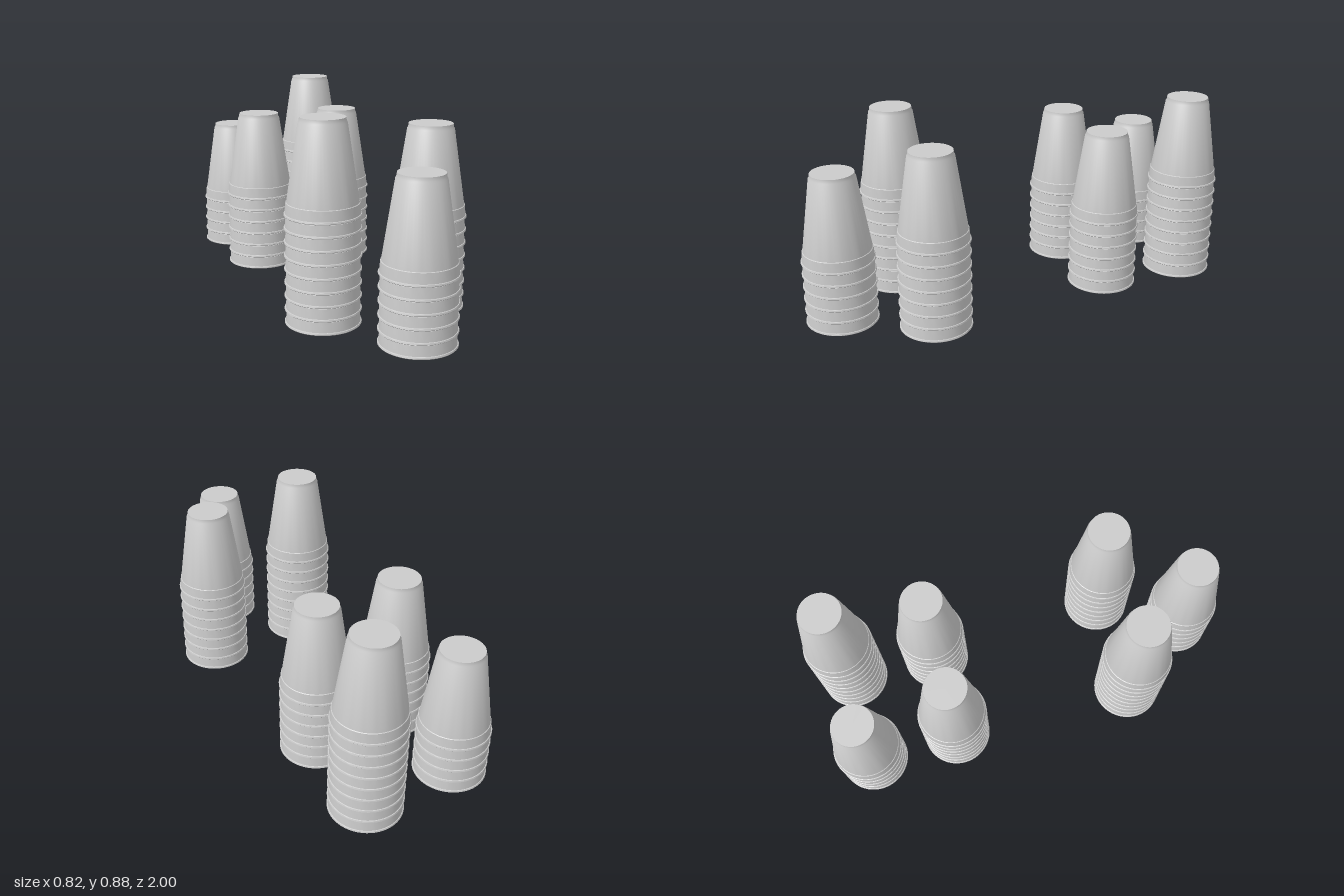
import * as THREE from 'three';
import { toCreasedNormals } from 'three/addons/utils/BufferGeometryUtils.js';

const CUP_HEIGHT = 0.407;
const PITCH = 0.0585; // rise of each nested cup

// Upside-down cup as one thin closed shell: inside wall, rolled rim, outside wall, base
function cupGeometry() {
  const profile = [
    // inside
    [0, 0.388], [0.092, 0.388], [0.146, 0.054], [0.153, 0.01],
    // rolled rim
    [0.156, 0.001], [0.16, 0], [0.163, 0.003], [0.163, 0.007], [0.161, 0.01], [0.158, 0.011],
    // stacking band and tapered wall
    [0.154, 0.055], [0.151, 0.057], [0.101, 0.385],
    // stepped base edge and flat base
    [0.097, 0.391], [0.095, CUP_HEIGHT], [0, CUP_HEIGHT],
  ].map(([r, y]) => new THREE.Vector2(r, y));
  return toCreasedNormals(new THREE.LatheGeometry(profile, 56), 0.6);
}

export function createModel() {
  const model = new THREE.Group();
  model.name = 'cupStacks';
  const material = new THREE.MeshStandardMaterial({ color: 0xcccccc });
  const geometry = cupGeometry();

  // name, x, z, number of nested cups
  const stacks = [
    ['frontStack', 0.015, 0.837, 6],
    ['middleRightStack', -0.249, 0.483, 9],
    ['middleLeftStack', 0.247, 0.477, 8],
    ['innerBackRightStack', -0.235, -0.41, 7],
    ['innerBackLeftStack', 0.182, -0.41, 7],
    ['backRightStack', -0.246, -0.837, 5],
    ['backLeftStack', 0.199, -0.837, 9],
  ];

  for (const [name, x, z, count] of stacks) {
    const stack = new THREE.Group();
    stack.name = name;
    stack.position.set(x, 0, z);
    for (let i = 0; i < count; i++) {
      const cup = new THREE.Mesh(geometry, material);
      cup.name = `cup${i + 1}`;
      cup.position.y = i * PITCH;
      stack.add(cup);
    }
    model.add(stack);
  }
  return model;
}
